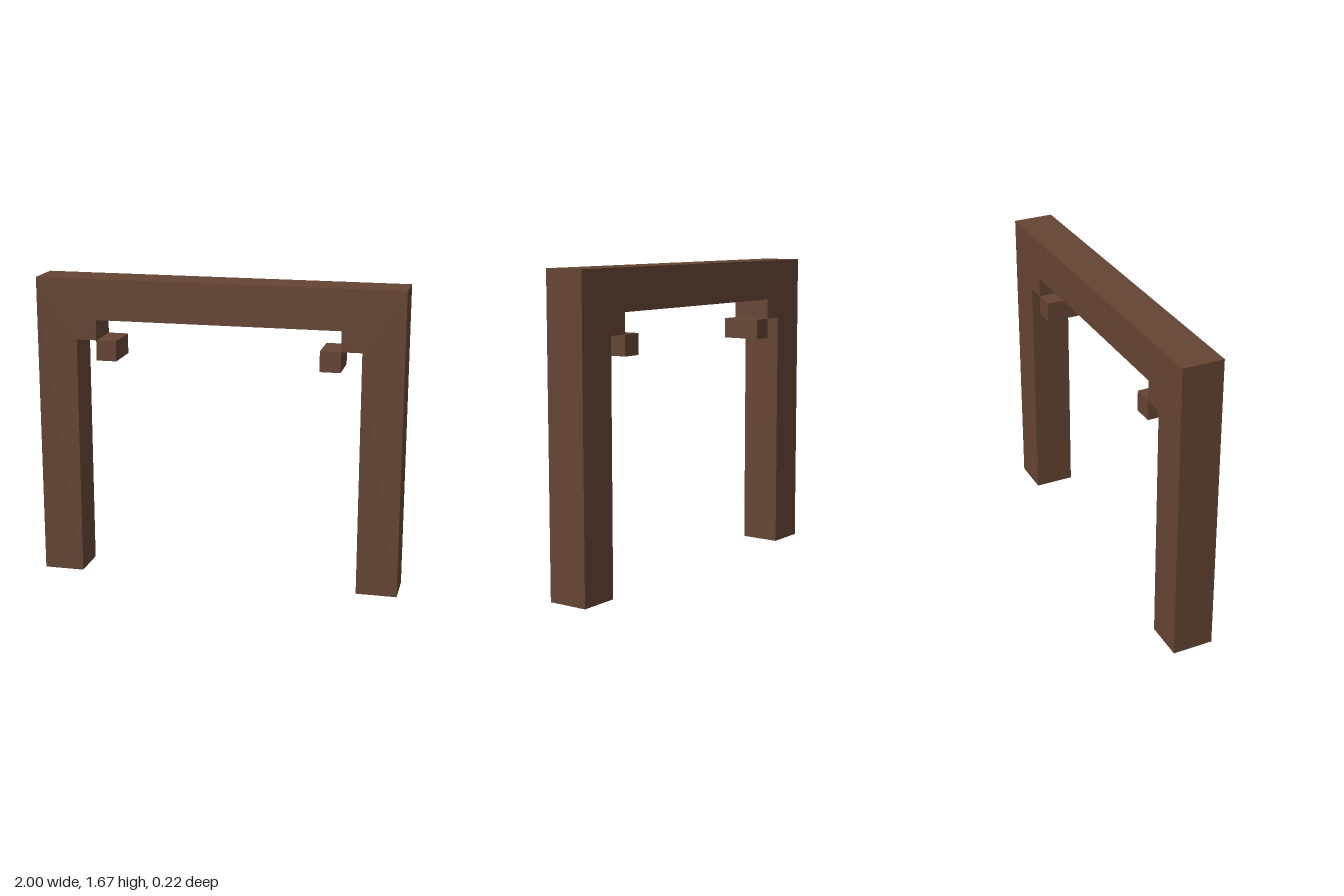
import * as THREE from 'three';

const U = 1 / 9; // one block unit

export function createModel() {
  const model = new THREE.Group();
  model.name = 'gateway';
  const wood = new THREE.MeshStandardMaterial({ color: 0x654533 });
  wood.name = 'darkWood';

  // Posts, top beam and stepped corners as one outline; right half mirrored
  const half = [[9, 0], [9, 15]];
  const inner = [[6, 13], [6, 12], [7, 12], [7, 0]];
  const mirror = (pts) => pts.map(([x, y]) => [-x, y]).reverse();
  const outline = [...half, ...mirror(half), ...mirror(inner), ...inner];
  const shape = new THREE.Shape(outline.map(([x, y]) => new THREE.Vector2(x * U, y * U)));
  const frameGeometry = new THREE.ExtrudeGeometry(shape, { depth: 2 * U, bevelEnabled: false });
  frameGeometry.translate(0, 0, -U);
  const frame = new THREE.Mesh(frameGeometry, wood);
  frame.name = 'frame';
  model.add(frame);

  // Small blocks touching the stepped corners edge to edge
  const blockGeometry = new THREE.BoxGeometry(U, U, 2 * U);
  for (const side of [1, -1]) {
    const block = new THREE.Mesh(blockGeometry, wood);
    block.name = side > 0 ? 'leftCornerBlock' : 'rightCornerBlock';
    block.position.set(side * 5.5 * U, 11.5 * U, 0);
    model.add(block);
  }
  return model;
}
